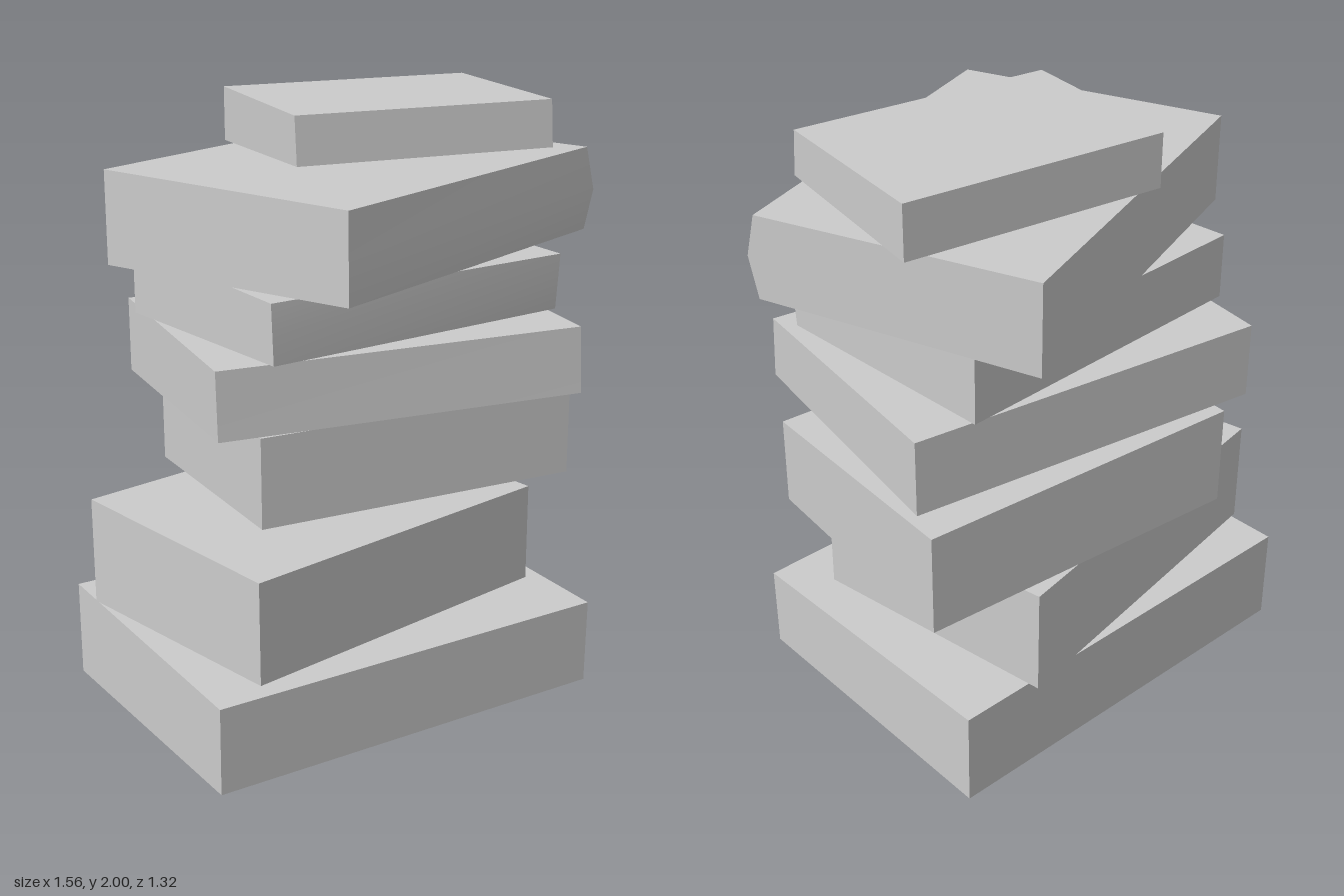
import * as THREE from 'three';

// Each slab: front-left, front-right and back-right corners [x, z],
// [bottom, top] heights at the back and at the slightly thinner front,
// lean = how far the lower front edge sticks out at its two ends, bulge = swelling of one front end.
const slabs = [
  { fl: [-0.77, 0.46], fr: [0.64, 0.46], br: [0.64, -0.565], back: [0, 0.33], front: [0.02, 0.31], lean: [-0.005, -0.005] },
  { fl: [-0.63, 0.46], fr: [0.535, 0.25], br: [0.385, -0.605], back: [0.335, 0.7], front: [0.35, 0.685] },
  { fl: [-0.465, 0.19], fr: [0.665, 0.29], br: [0.735, -0.525], back: [0.705, 1.045], front: [0.725, 1.025] },
  { fl: [-0.655, 0.265], fr: [0.56, 0.457], br: [0.697, -0.415], back: [1.05, 1.302], front: [1.073, 1.29], lean: [0.012, 0.017] },
  { fl: [-0.535, 0.39], fr: [0.56, 0.342], br: [0.51, -0.46], back: [1.305, 1.525], front: [1.32, 1.505], lean: [0.01, -0.016] },
  { fl: [-0.44, 0.655], fr: [0.766, 0.207], br: [0.445, -0.665], back: [1.525, 1.82], front: [1.537, 1.81], bulge: 0.03 },
  { fl: [-0.305, 0.143], fr: [0.555, 0.278], br: [0.65, -0.335], back: [1.825, 2], front: [1.84, 1.99], lean: [0.015, 0.015] },
];

// A box whose vertices are moved onto the slab's corners and heights
function slabGeometry({ fl, fr, br, back, front, lean = [0, 0], bulge = 0 }) {
  const geometry = new THREE.BoxGeometry(1, 1, 1, 1, 2, 1);
  const p = geometry.attributes.position;
  const across = new THREE.Vector2(fr[0] - fl[0], fr[1] - fl[1]);
  const outward = new THREE.Vector2(-across.y, across.x).normalize();
  for (let i = 0; i < p.count; i++) {
    const u = p.getX(i) + 0.5, v = p.getY(i) + 0.5, w = p.getZ(i) + 0.5;
    const depth = 1 - w;
    // Only the front edge is pushed in or out
    const push = w * (THREE.MathUtils.lerp(lean[0], lean[1], u) * (1 - v) + bulge * u * (1 - Math.abs(2 * v - 1)));
    const y0 = THREE.MathUtils.lerp(back[0], front[0], w);
    const y1 = THREE.MathUtils.lerp(back[1], front[1], w);
    p.setXYZ(i,
      fl[0] + across.x * u + (br[0] - fr[0]) * depth + outward.x * push,
      THREE.MathUtils.lerp(y0, y1, v),
      fl[1] + across.y * u + (br[1] - fr[1]) * depth + outward.y * push);
  }
  geometry.computeVertexNormals(); // sides stay separate, so edges stay sharp
  return geometry;
}

export function createModel() {
  const group = new THREE.Group();
  group.name = 'stackOfBooks';
  const material = new THREE.MeshStandardMaterial({ color: 0xcccccc });
  slabs.forEach((slab, i) => {
    const mesh = new THREE.Mesh(slabGeometry(slab), material);
    mesh.name = `book${i + 1}`;
    group.add(mesh);
  });
  return group;
}
